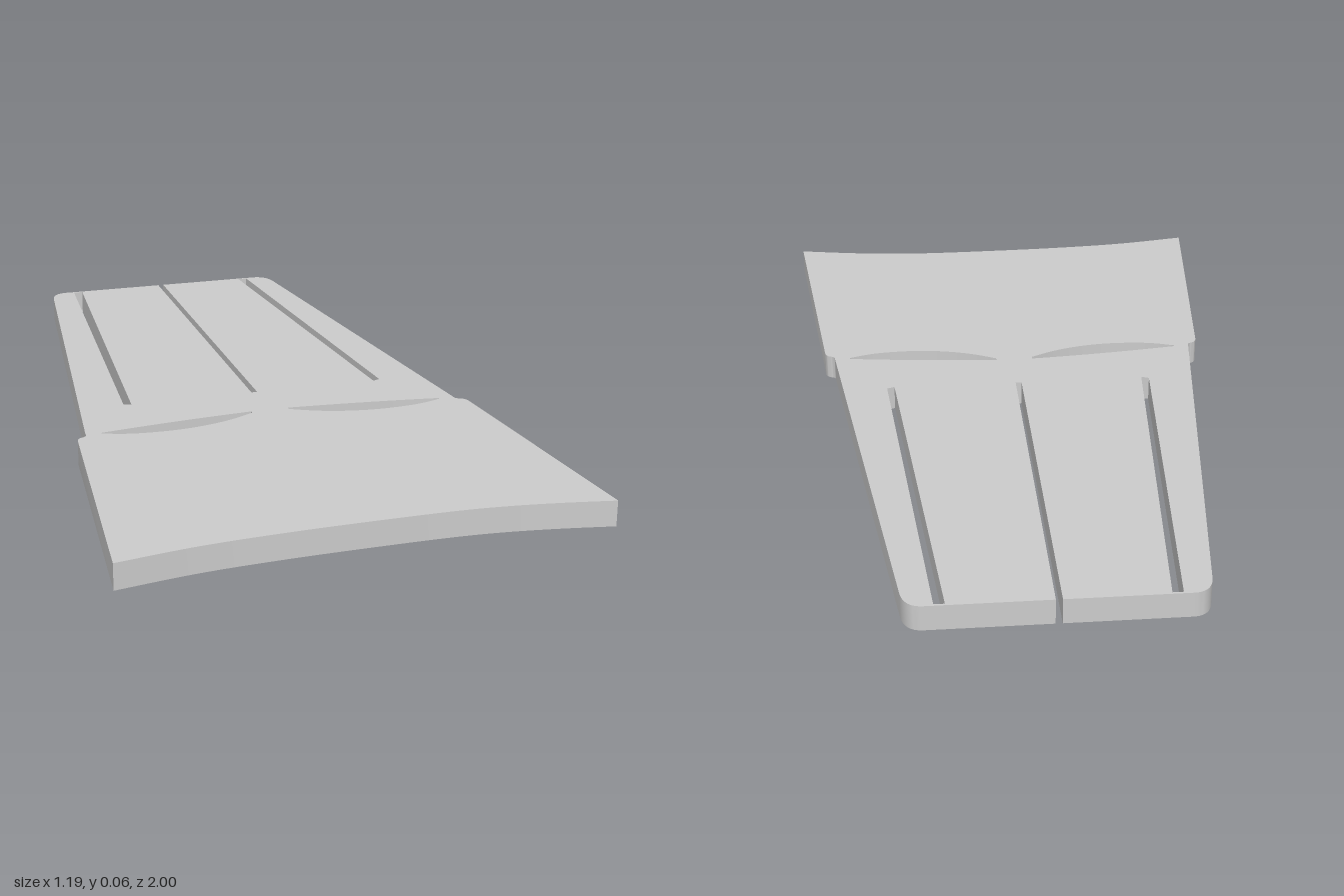
import * as THREE from 'three';
import { toCreasedNormals } from 'three/addons/utils/BufferGeometryUtils.js';

const THICKNESS = 0.065;

// Plan points are given as x, z; the shape plane uses y = -z
const v = (x, z) => new THREE.Vector2(x, -z);

// Tapered outline with a rear centre slit, side steps and a concave front edge
function plateOutline() {
  const s = new THREE.Shape();
  s.moveTo(-0.6, 1);
  s.splineThru([v(-0.4, 0.968), v(-0.2, 0.953), v(0, 0.947), v(0.2, 0.946),
    v(0.33, 0.953), v(0.46, 0.97), v(0.595, 0.995)].map((p) => p));
  return s;
}

function buildOutline() {
  const s = new THREE.Shape();
  const line = (x, z) => s.lineTo(x, -z);
  const curve = (cx, cz, x, z) => s.quadraticCurveTo(cx, -cz, x, -z);
  s.moveTo(-0.597, -1);
  s.splineThru([v(-0.4, 0.968), v(-0.2, 0.953), v(0, 0.947), v(0.2, 0.946),
    v(0.33, 0.953), v(0.46, 0.97), v(0.597, 0.995)]);
  // Right-hand side in plan: step, taper, rounded rear corner
  line(0.526, 0.272);
  curve(0.522, 0.253, 0.508, 0.25);
  curve(0.497, 0.246, 0.498, 0.23);
  line(0.356, -0.945);
  curve(0.348, -1, 0.305, -1);
  // Centre slit, open at the rear
  line(0.008, -1);
  line(0.008, 0.05);
  line(-0.008, 0.05);
  line(-0.008, -1);
  // Mirrored side
  line(-0.305, -1);
  curve(-0.348, -1, -0.356, -0.945);
  line(-0.498, 0.23);
  curve(-0.497, 0.246, -0.508, 0.25);
  curve(-0.522, 0.253, -0.526, 0.272);
  s.closePath();
  return s;
}

// Long slanted slot, stopping just short of the rear edge
function slot(side) {
  return new THREE.Path([v(side * 0.256, -0.994), v(side * 0.282, -0.994),
    v(side * 0.358, 0.045), v(side * 0.338, 0.053)]);
}

// Leaf-shaped opening: nearly straight rear edge, bowed front edge
function leafOpening(side) {
  const p = new THREE.Path();
  p.moveTo(side * 0.05, -0.19);
  p.quadraticCurveTo(side * 0.25, -0.202, side * 0.457, -0.232);
  p.splineThru([v(side * 0.45, 0.24), v(side * 0.38, 0.26), v(side * 0.285, 0.266),
    v(side * 0.2, 0.257), v(side * 0.12, 0.234), v(side * 0.05, 0.2)]);
  p.closePath();
  return p;
}

export function createModel() {
  const group = new THREE.Group();
  group.name = 'slottedPlate';

  const outline = buildOutline();
  for (const side of [-1, 1]) outline.holes.push(slot(side), leafOpening(side));

  const geometry = new THREE.ExtrudeGeometry(outline, {
    depth: THICKNESS, bevelEnabled: false, curveSegments: 10,
  });
  geometry.rotateX(-Math.PI / 2);

  const plate = new THREE.Mesh(
    toCreasedNormals(geometry, 0.5),
    new THREE.MeshStandardMaterial({ color: 0xcccccc }),
  );
  plate.name = 'plate';
  group.add(plate);
  return group;
}
